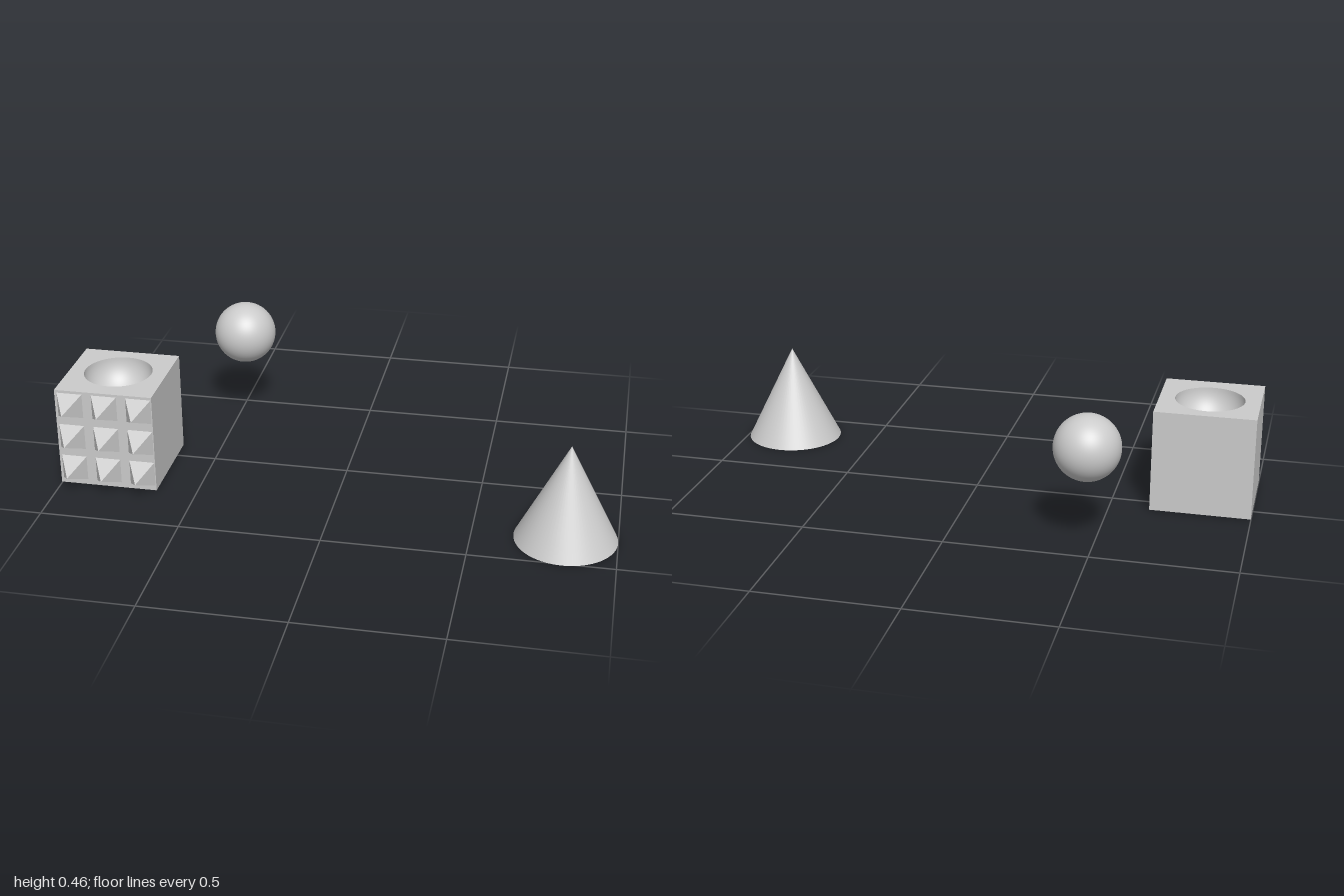
import * as THREE from 'three';

const grey = new THREE.MeshStandardMaterial({ color: 0xcccccc });
const flatGrey = new THREE.MeshStandardMaterial({ color: 0xcccccc, flatShading: true });

function add(parent, name, geometry, material, x, y, z) {
  const mesh = new THREE.Mesh(geometry, material);
  mesh.name = name;
  mesh.position.set(x, y, z);
  parent.add(mesh);
  return mesh;
}

// Block with a round bowl sunk in its top and a grid of studs on its front
function createBlock() {
  const block = new THREE.Group();
  block.name = 'studdedBlock';
  const w = 0.356, bottom = 0.004, top = 0.374, h = top - bottom;
  const bowlR = 0.123, bowlZ = -0.007;

  // Walls and floor: a box without its top face
  const walls = new THREE.BoxGeometry(w, h, w);
  const index = Array.from(walls.index.array);
  index.splice(12, 6);
  walls.setIndex(index);
  walls.clearGroups();
  add(block, 'blockWalls', walls, flatGrey, 0, bottom + h / 2, 0);

  // Top plate with the bowl opening
  const s = w / 2;
  const plate = new THREE.Shape([[-s, -s], [s, -s], [s, s], [-s, s]].map(p => new THREE.Vector2(...p)));
  plate.holes.push(new THREE.Path().absarc(0, -bowlZ, bowlR, 0, Math.PI * 2, true));
  add(block, 'topPlate', new THREE.ShapeGeometry(plate, 32).rotateX(-Math.PI / 2), flatGrey, 0, top, 0);

  // Hemispherical bowl, profile run from rim to centre so it faces inwards
  const profile = [];
  for (let i = 0; i <= 20; i++) {
    const a = (i / 20) * Math.PI / 2;
    profile.push(new THREE.Vector2(bowlR * Math.cos(a), -bowlR * Math.sin(a)));
  }
  add(block, 'bowl', new THREE.LatheGeometry(profile, 64), grey, 0, top, bowlZ);

  // Three by three pyramid studs
  const stud = new THREE.ConeGeometry(0.046 * Math.SQRT2, 0.09, 4)
    .rotateY(Math.PI / 4).rotateX(Math.PI / 2);
  for (let row = 0; row < 3; row++) {
    for (let col = 0; col < 3; col++) {
      add(block, 'stud', stud, flatGrey, 0.003 + (col - 1) * 0.126, 0.07 + row * 0.124, s + 0.045);
    }
  }
  return block;
}

export function createModel() {
  const model = new THREE.Group();
  model.name = 'shapes';

  const block = createBlock();
  block.position.set(-0.822, 0, 0.099);
  model.add(block);

  add(model, 'ball', new THREE.SphereGeometry(0.115, 64, 32), grey, -0.47, 0.348, -0.393);
  add(model, 'cone', new THREE.ConeGeometry(0.178, 0.356, 64), grey, 0.822, 0.178, 0.331);
  return model;
}
